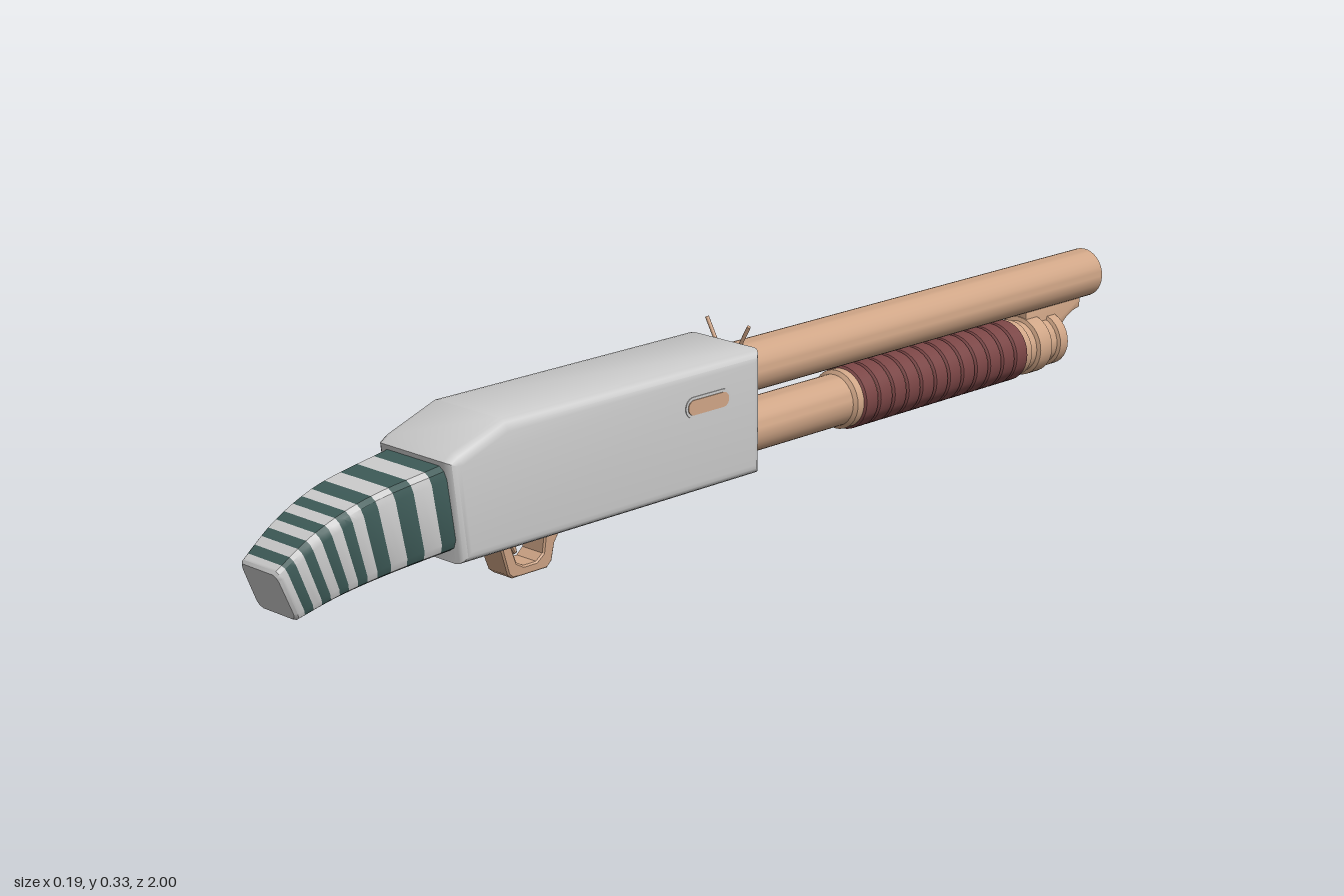
import * as THREE from 'three';
import { toCreasedNormals } from 'three/addons/utils/BufferGeometryUtils.js';

const mat = (color, side = THREE.FrontSide) => new THREE.MeshStandardMaterial({ color, side });
const grey = mat(0xcccccc);
const tan = mat(0xcfa586);
const maroon = mat(0x7a4545);
const teal = mat(0x3d5a57);

const TUBE_Y = 0.132, BARREL_Y = 0.241;

export function createModel() {
  const model = new THREE.Group();

  const add = (name, geometry, material, parent = model) => {
    const mesh = new THREE.Mesh(geometry, material);
    mesh.name = name;
    parent.add(mesh);
    return mesh;
  };

  // Side profile given as [z, y] points, extruded across x and centred
  const sideShape = pts => new THREE.Shape(pts.map(([z, y]) => new THREE.Vector2(-z, y)));
  const sideExtrude = (shape, width, bevel, segments = 2) => {
    const g = new THREE.ExtrudeGeometry(shape, {
      depth: width - 2 * bevel, bevelEnabled: bevel > 0, bevelSize: bevel,
      bevelThickness: bevel, bevelOffset: -bevel, bevelSegments: segments, curveSegments: 10,
    });
    g.translate(0, 0, -(width - 2 * bevel) / 2);
    g.rotateY(Math.PI / 2);
    return toCreasedNormals(g, 0.6);
  };

  // Profile of [radius, distance towards -z] turned about an axis along z
  const turned = (pts, y) => {
    const g = new THREE.LatheGeometry(pts.map(([r, h]) => new THREE.Vector2(r, h)), 32);
    g.rotateX(-Math.PI / 2);
    g.translate(0, y, 0);
    return toCreasedNormals(g, 0.6);
  };

  // Receiver body with a sloped rear shoulder
  add('receiver', sideExtrude(sideShape([
    [-0.015, 0.077], [0.665, 0.077], [0.687, 0.25], [0.67, 0.262], [0.57, 0.298], [-0.015, 0.298],
  ]), 0.184, 0.02, 4), grey);

  // Ejection port on the left side
  const slot = (length, height, depth, name, material) => {
    const r = height / 2, a = length / 2 - r;
    const s = new THREE.Shape();
    s.absarc(a, 0, r, -Math.PI / 2, Math.PI / 2);
    s.absarc(-a, 0, r, Math.PI / 2, Math.PI * 1.5);
    const mesh = add(name, sideExtrude(s, depth, 0), material);
    mesh.position.set(0.091, 0.231, 0.118);
    return mesh;
  };
  slot(0.106, 0.036, 0.005, 'ejectionPortRim', grey);
  slot(0.096, 0.026, 0.008, 'ejectionPort', tan);

  // Barrel with an open bore
  add('barrel', turned([
    [0, 0], [0.046, 0], [0.046, 1], [0.035, 1], [0.035, 0.85], [0, 0.85],
  ], BARREL_Y), tan);

  // Magazine tube with end rings and a rounded cap
  add('magazineTube', turned([
    [0, 0], [0.047, 0], [0.047, 0.295], [0.054, 0.3], [0.054, 0.785], [0.049, 0.79],
    [0.049, 0.805], [0.056, 0.808], [0.056, 0.842], [0.045, 0.846], [0.045, 0.87],
    [0.051, 0.873], [0.051, 0.895], [0.045, 0.902], [0, 0.902],
  ], TUBE_Y), tan);

  // Ribbed pump grip
  const ribs = 12, ribStart = 0.315, ribLength = 0.455 / ribs;
  const grip = [[0.05, ribStart]];
  for (let i = 0; i < ribs; i++) {
    const h = ribStart + i * ribLength;
    grip.push([0.053, h], [0.058, h + 0.004], [0.058, h + ribLength - 0.004], [0.053, h + ribLength]);
  }
  grip.push([0.05, ribStart + ribs * ribLength]);
  add('pumpGrip', turned(grip, TUBE_Y), maroon);

  // Lug joining the barrel to the tube cap
  const lug = new THREE.Shape();
  lug.moveTo(0.81, 0.12);
  lug.lineTo(0.895, 0.082);
  lug.lineTo(0.912, 0.084);
  lug.lineTo(0.912, 0.135);
  lug.quadraticCurveTo(0.918, 0.172, 0.972, 0.18);
  lug.lineTo(0.972, 0.2);
  lug.lineTo(0.81, 0.2);
  lug.closePath();
  add('barrelLug', sideExtrude(lug, 0.034, 0.004), tan);

  // Trigger guard: tapered ring narrowing towards the bottom
  const guardShape = sideShape([
    [0.54, 0.09], [0.532, 0.065], [0.512, 0.008], [0.502, 0], [0.425, 0],
    [0.415, 0.01], [0.41, 0.04], [0.398, 0.06], [0.378, 0.075], [0.378, 0.09],
  ]);
  guardShape.holes.push(new THREE.Path([
    [0.517, 0.082], [0.494, 0.026], [0.478, 0.017], [0.45, 0.017], [0.436, 0.028], [0.433, 0.06], [0.443, 0.082],
  ].map(([z, y]) => new THREE.Vector2(-z, y))));
  const guard = sideExtrude(guardShape, 0.062, 0.003, 1);
  const gp = guard.attributes.position;
  for (let i = 0; i < gp.count; i++) gp.setX(i, gp.getX(i) * (0.8 + 2.2 * gp.getY(i)));
  add('triggerGuard', toCreasedNormals(guard, 0.5), tan);

  // Curved trigger
  add('trigger', sideExtrude(sideShape([
    [0.515, 0.09], [0.505, 0.06], [0.49, 0.045], [0.484, 0.034], [0.478, 0.036],
    [0.482, 0.055], [0.488, 0.07], [0.49, 0.09],
  ]), 0.022, 0.002, 1), tan);

  // Pair of splayed sight prongs
  for (const side of [-1, 1]) {
    const prong = add(side > 0 ? 'leftSight' : 'rightSight', new THREE.CylinderGeometry(0.0035, 0.0035, 0.065, 10), tan);
    prong.position.set(side * 0.034, 0.3, -0.024);
    prong.rotation.z = -side * 0.52;
  }

  // Curved stock: chamfered cross-sections swept from receiver to butt
  const path = pts => new THREE.CatmullRomCurve3(pts.map(([z, y]) => new THREE.Vector3(0, y, z)));
  const topLine = path([[0.68, 0.243], [0.84, 0.217], [0.93, 0.182], [1, 0.136]]);
  const baseLine = path([[0.66, 0.098], [0.81, 0.084], [0.89, 0.07], [0.963, 0.05]]);
  const section = (t, scale = 1, push = 0) => {
    const a = topLine.getPoint(t), b = baseLine.getPoint(t);
    const mid = a.clone().add(b).multiplyScalar(0.5);
    const up = a.clone().sub(b).multiplyScalar(0.5 * scale);
    const w = (0.079 - 0.03 * t) * scale;
    mid.z += push;
    mid.y -= push * 0.4;
    // Half outline as [width, height] fractions, mirrored to the other side
    const half = [[0.78, -1], [0.93, -0.9], [1, -0.7], [0.97, 0.72], [0.92, 0.9], [0.8, 1]];
    const loop = [...half, ...half.slice().reverse().map(([x, y]) => [-x, y])];
    return loop.map(([x, y]) => mid.clone().addScaledVector(up, y).setX(x * w));
  };
  const strip = (rings, capped) => {
    const p = [];
    const tri = (...v) => v.forEach(q => p.push(q.x, q.y, q.z));
    for (let k = 0; k + 1 < rings.length; k++) {
      const A = rings[k], B = rings[k + 1], n = A.length;
      for (let i = 0; i < n; i++) {
        const j = (i + 1) % n;
        tri(A[i], A[j], B[j]);
        tri(A[i], B[j], B[i]);
      }
    }
    if (capped) {
      const E = rings[rings.length - 1];
      for (let i = 1; i + 1 < E.length; i++) tri(E[0], E[i], E[i + 1]);
    }
    const g = new THREE.BufferGeometry();
    g.setAttribute('position', new THREE.Float32BufferAttribute(p, 3));
    return toCreasedNormals(g, 0.6);
  };
  const stock = new THREE.Group();
  stock.name = 'stock';
  model.add(stock);
  const bands = 14;
  for (let i = 0; i < bands; i++) {
    const t0 = i / bands, t1 = (i + 1) / bands, last = i === bands - 1;
    const rings = [section(t0), section((t0 + t1) / 2), section(last ? 0.98 : t1)];
    if (last) rings.push(section(1, 0.93));
    add('stockBand' + (i + 1), strip(rings, last), i % 2 ? grey : teal, stock);
  }

  return model;
}
